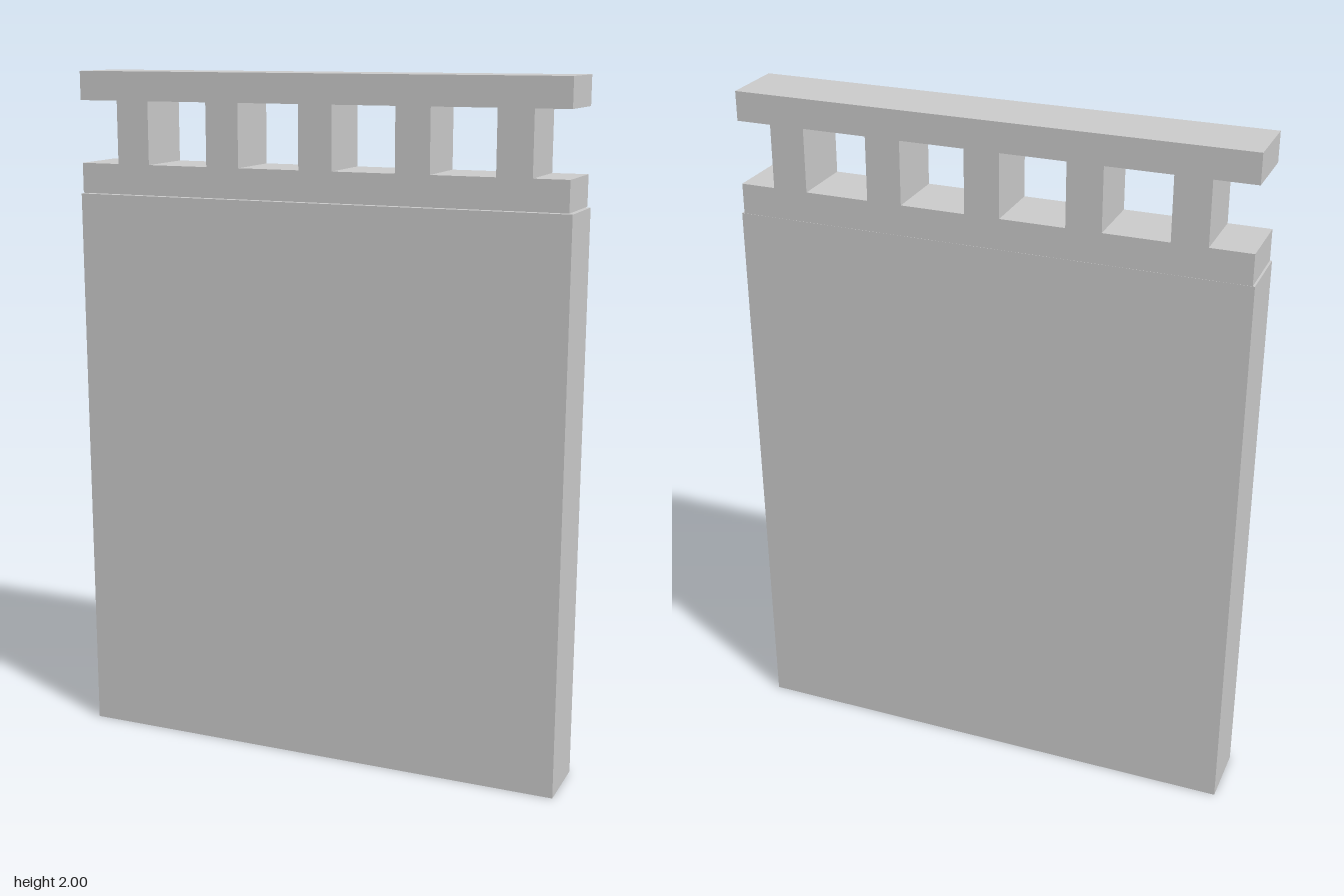
import * as THREE from 'three';

export function createModel() {
  const group = new THREE.Group();
  const material = new THREE.MeshStandardMaterial({ color: 0xcccccc, side: THREE.DoubleSide });

  // Tall panel: a hollow shell, open underneath
  const panelHeight = 1.648;
  const panelGeometry = new THREE.BoxGeometry(1.474, panelHeight, 0.19);
  const index = Array.from(panelGeometry.index.array);
  index.splice(18, 6); // drop the bottom face
  panelGeometry.setIndex(index);
  panelGeometry.clearGroups();
  const panel = new THREE.Mesh(panelGeometry, material);
  panel.name = 'panel';
  panel.position.set(0, panelHeight / 2, 0.002);
  group.add(panel);

  // Railing: two rails joined by five posts, cut from one slab
  const left = -0.732, right = 0.727;
  const bottom = 1.65, lower = 1.737, upper = 1.917, top = 2;
  const postCount = 5, pitch = 0.2847, halfPost = 0.05, middle = 0.007;
  const postX = (i) => middle + (i - (postCount - 1) / 2) * pitch;
  const first = postX(0) - halfPost;
  const last = postX(postCount - 1) + halfPost;

  // Outline with a notch at each end
  const outline = new THREE.Shape([
    [left, bottom], [right, bottom], [right, lower], [last, lower],
    [last, upper], [right, upper], [right, top], [left, top],
    [left, upper], [first, upper], [first, lower], [left, lower],
  ].map(([x, y]) => new THREE.Vector2(x, y)));

  // Openings between neighbouring posts
  for (let i = 0; i < postCount - 1; i++) {
    const a = postX(i) + halfPost;
    const b = postX(i + 1) - halfPost;
    outline.holes.push(new THREE.Path([
      new THREE.Vector2(a, lower), new THREE.Vector2(a, upper),
      new THREE.Vector2(b, upper), new THREE.Vector2(b, lower),
    ]));
  }

  const railing = new THREE.Mesh(
    new THREE.ExtrudeGeometry(outline, { depth: 0.19, bevelEnabled: false }), material);
  railing.name = 'railing';
  railing.position.z = -0.097;
  group.add(railing);

  return group;
}
